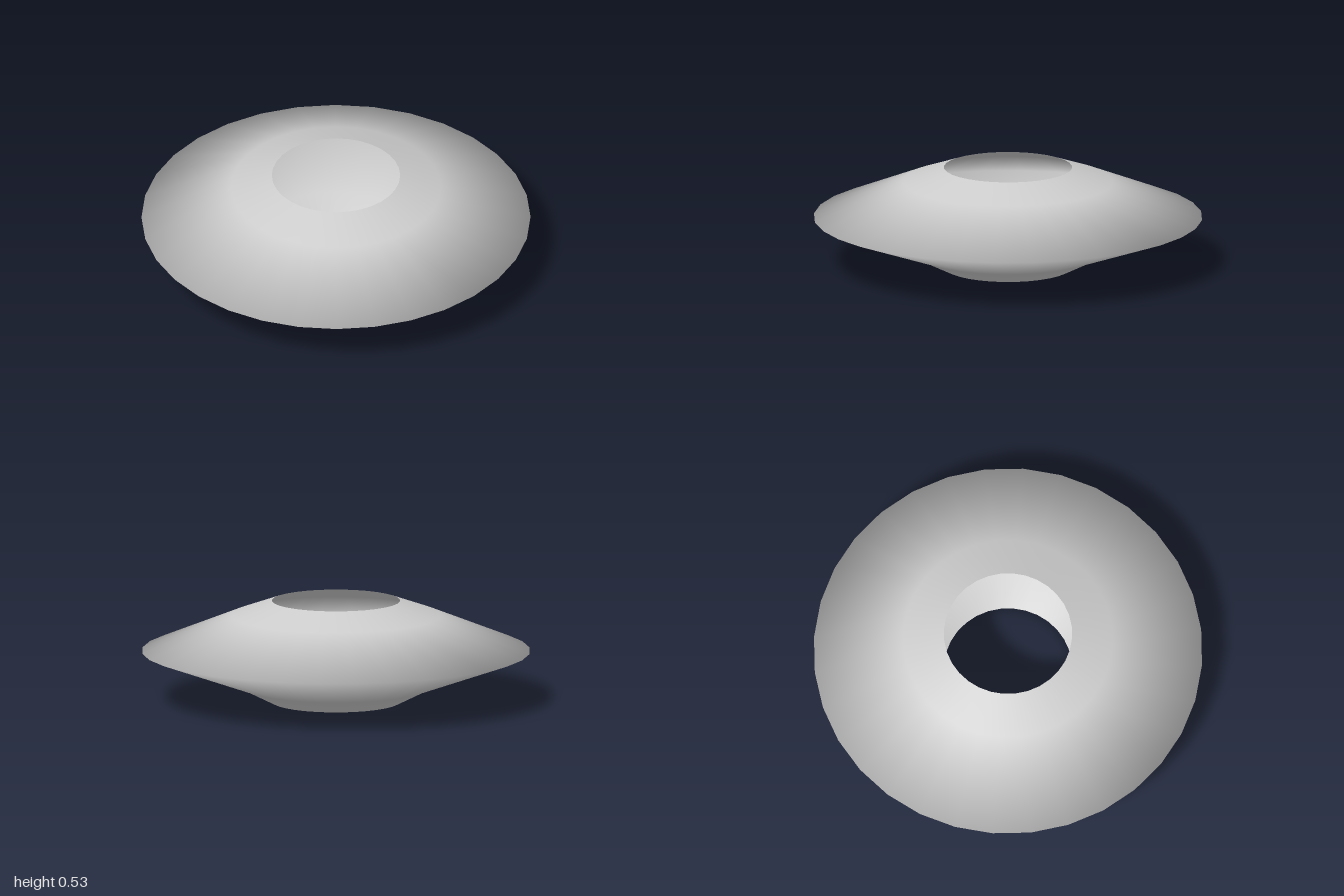
import * as THREE from 'three';

export function createModel() {
  const model = new THREE.Group();
  const material = new THREE.MeshStandardMaterial({ color: 0xcccccc, side: THREE.DoubleSide });

  // Hollow ring shell, open at the bottom and top, with smooth normals across the rim
  const profile = [
    [0.33, 0],
    [0.485, 0.078],
    [1, 0.265],
    [0.54, 0.452],
    [0.33, 0.527],
  ].map(([r, y]) => new THREE.Vector2(r, y));

  const shell = new THREE.Mesh(new THREE.LatheGeometry(profile, 32), material);
  shell.name = 'openDiscShell';
  model.add(shell);
  return model;
}
